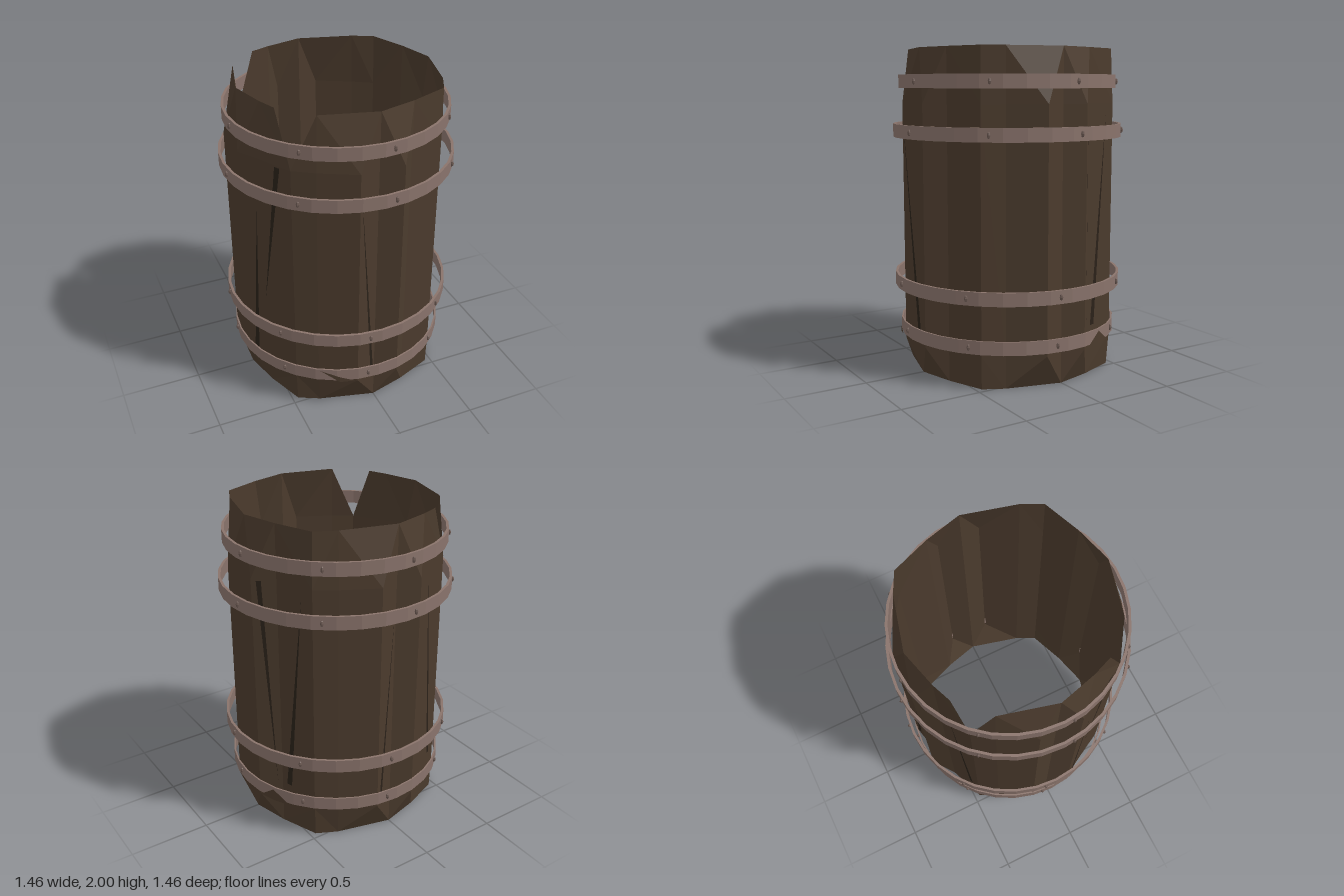
import * as THREE from 'three';

const wood = new THREE.MeshStandardMaterial({ color: 0x4b3b2d, flatShading: true, side: THREE.DoubleSide });
wood.name = 'dark wood';
const gap = new THREE.MeshStandardMaterial({ color: 0x2a2119, flatShading: true, side: THREE.DoubleSide });
gap.name = 'crack shadow brown';
const iron = new THREE.MeshStandardMaterial({ color: 0x89736b, flatShading: true });
iron.name = 'hoop iron';
const rivetMat = new THREE.MeshStandardMaterial({ color: 0x6c5a53, flatShading: true });
rivetMat.name = 'rivet iron';

// Six stave corners in each quarter: angle in degrees, radius of the body, radius of the rim.
// The corner at 0 is a groove that runs straight up between two staves.
const ANGLES = [0, 11.5, 32.5, 45, 67.5, 78.5];
const BODY = [
  [0.615, 0.68, 0.625, 0.66, 0.60, 0.68],
  [0.615, 0.68, 0.655, 0.668, 0.645, 0.68],
  [0.615, 0.68, 0.65, 0.66, 0.60, 0.68],
  [0.615, 0.68, 0.655, 0.67, 0.60, 0.68],
];
const ENDS = [0.615, 0, 0.625, 0.655, 0.60, 0];
const LOW = 0.2, HIGH = 1.67;

function at(deg, r, y) {
  const a = THREE.MathUtils.degToRad(deg);
  return new THREE.Vector3(Math.cos(a) * r, y, Math.sin(a) * r);
}
// i counts stave corners round the whole barrel
function corner(i, y) {
  const n = i % 24, q = Math.floor(n / 6);
  return at(ANGLES[n % 6] + 90 * q, BODY[q][n % 6], y);
}

function meshOf(name, material, tris) {
  const g = new THREE.BufferGeometry().setFromPoints(tris.flat());
  g.computeVertexNormals();
  const m = new THREE.Mesh(g, material);
  m.name = name;
  return m;
}
// Turns a triangle so that it faces away from the barrel's axis
function outward(a, b, c) {
  const n = b.clone().sub(a).cross(c.clone().sub(a));
  const mid = a.clone().add(b).add(c).setY(0);
  return n.dot(mid) < 0 ? [a, c, b] : [a, b, c];
}

// Upright middle of the staves
function staveBody() {
  const tris = [];
  for (let i = 0; i < 24; i++) {
    const a = corner(i, LOW), b = corner(i + 1, LOW), c = corner(i + 1, HIGH), d = corner(i, HIGH);
    tris.push(outward(a, b, c), outward(a, c, d));
  }
  return meshOf('staveBody', wood, tris);
}

// Chamfered ends of the staves, with broken notches at the top
function staveEnds(name, y0, y1, broken) {
  const tris = [];
  const add = (a, b, c) => tris.push(outward(a, b, c));
  for (let q = 0; q < 4; q++) {
    const B = [0, 1, 2, 3, 4, 5, 6].map(j => corner(q * 6 + j, y0));
    const T = ANGLES.map((deg, j) => at(deg + 90 * q, ENDS[j], y1));
    T.push(at(90 * q + 90, ENDS[0], y1));
    add(B[0], B[1], T[0]);
    add(B[1], T[2], T[0]);
    add(B[1], B[2], T[2]);
    add(B[2], B[3], T[2]);
    if (broken && (q === 1 || q === 2)) {
      add(B[3], T[4], T[3].clone().lerp(T[4], 0.5));
    } else {
      add(B[3], T[3], T[2]);
      add(B[3], T[4], T[3]);
    }
    add(B[3], B[4], T[4]);
    add(B[4], B[5], T[4]);
    add(B[5], T[6], T[4]);
    add(B[5], B[6], T[6]);
  }
  return meshOf(name, wood, tris);
}

// Narrow wedge-shaped cracks: stave face number, then three [across, height] points
const CRACKS = [
  [6, [0.95, 1.55], [0.1, 0.25], [0.25, 0.25]],
  [9, [0.3, 1.66], [0.45, 1.66], [0.9, 0.7]],
  [10, [0.05, 1.4], [0.4, 0.25], [0.65, 0.25]],
  [15, [0.7, 1.6], [0.2, 0.3], [0.3, 0.3]],
  [18, [0.1, 1.5], [0.7, 0.25], [0.85, 0.25]],
  [21, [0.3, 1.6], [0.7, 0.3], [0.85, 0.3]],
  [22, [0.2, 0.3], [0.6, 1.66], [0.8, 1.66]],
];
function cracks() {
  const tris = CRACKS.map(([i, ...pts]) => {
    const a = corner(i, 0), b = corner(i + 1, 0);
    const off = new THREE.Vector3(b.z - a.z, 0, a.x - b.x).setLength(0.003);
    return outward(...pts.map(([u, y]) => a.clone().lerp(b, u).setY(y).add(off)));
  });
  return meshOf('staveCracks', gap, tris);
}

// Wood splinters lapping over the bottom hoop: [angle, height] of foot, peak and foot
const SPLINTERS = [
  [[-13, 0.21], [-22, 0.29], [-32, 0.21]],
  [[121, 0.295], [111, 0.25], [103, 0.215]],
];
function splinters() {
  const tris = SPLINTERS.flatMap(([a, b, c]) => {
    const p = [a, b, c].map(([deg, y]) => at(deg, 0.694, y));
    const foot = at(b[0], 0.694, 0.21);
    return [outward(p[0], p[1], foot), outward(foot, p[1], p[2])];
  });
  return meshOf('splinters', wood, tris);
}

// Flat iron band with eight rivets
function hoop(name, y, r, thickness, firstRivet) {
  const g = new THREE.Group();
  g.name = name;
  const h = 0.041, inner = r - thickness;
  const profile = [[r, -h], [r, h], [inner, h], [inner, -h], [r, -h]].map(p => new THREE.Vector2(...p));
  const band = new THREE.Mesh(new THREE.LatheGeometry(profile, 32), iron);
  band.name = 'band';
  g.add(band);
  const head = new THREE.SphereGeometry(1, 6, 4);
  for (let i = 0; i < 8; i++) {
    const rivet = new THREE.Mesh(head, rivetMat);
    rivet.name = 'rivet';
    const deg = firstRivet + 45 * i;
    rivet.position.copy(at(deg, r, 0));
    rivet.rotation.y = -THREE.MathUtils.degToRad(deg);
    rivet.scale.set(0.012, 0.02, 0.011);
    g.add(rivet);
  }
  g.position.y = y;
  return g;
}

export function createModel() {
  const barrel = new THREE.Group();
  barrel.name = 'barrel';
  barrel.add(
    staveBody(),
    staveEnds('staveTops', HIGH, 2, true),
    staveEnds('staveBottoms', LOW, 0, false),
    cracks(),
    splinters(),
    hoop('topHoop', 1.8, 0.685, 0.016, 40),
    hoop('upperHoop', 1.5, 0.722, 0.016, 40),
    hoop('lowerHoop', 0.56, 0.722, 0.016, 51),
    hoop('bottomHoop', 0.26, 0.688, 0.01, 51),
  );
  return barrel;
}
